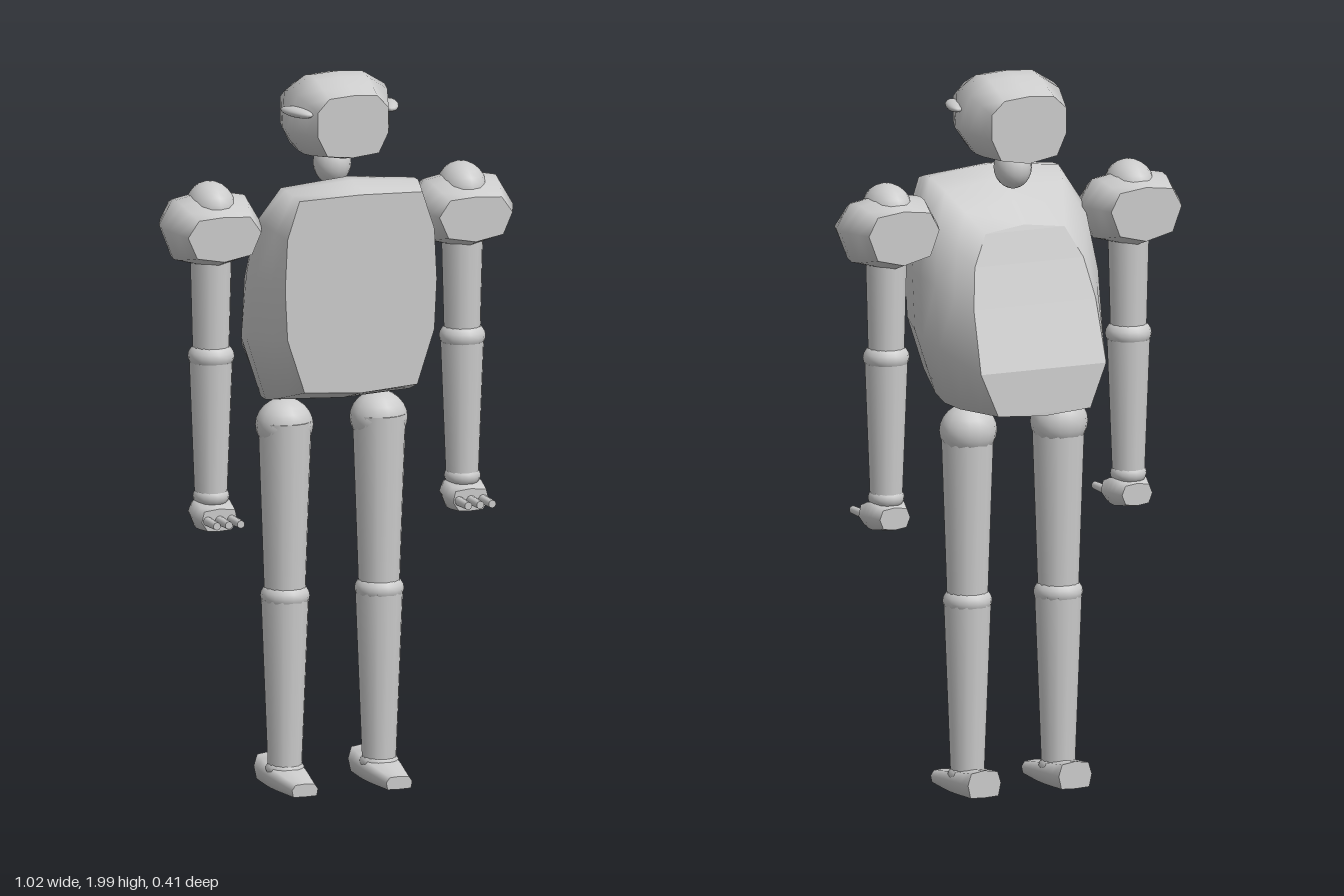
import * as THREE from 'three';
import { mergeGeometries } from 'three/addons/utils/BufferGeometryUtils.js';

const material = new THREE.MeshStandardMaterial({ color: 0xcccccc });

function add(parent, name, geometry, x = 0, y = 0, z = 0) {
  const mesh = new THREE.Mesh(geometry, material);
  mesh.name = name;
  mesh.position.set(x, y, z);
  parent.add(mesh);
  return mesh;
}

const ball = (rx, ry = rx, rz = rx) => new THREE.SphereGeometry(1, 16, 12).scale(rx, ry, rz);

// Cylinder along y between two heights
const limb = (y0, r0, y1, r1) =>
  new THREE.CylinderGeometry(r1, r0, y1 - y0, 14).translate(0, (y0 + y1) / 2, 0);

// Smooth barrel from front to back with crisp flat ends. Each section lists its
// right half [x, y, z] from top centre to bottom centre and is mirrored in x.
function barrel(sections, steps = 6) {
  const n = sections[0].length;
  const curves = sections[0].map((_, j) =>
    new THREE.CatmullRomCurve3(sections.map((s) => new THREE.Vector3(...s[j]))).getPoints(steps));
  const count = 2 * n - 2;
  const position = [], index = [];
  for (let i = 0; i <= steps; i++) {
    for (let j = 0; j < count; j++) {
      const p = curves[j < n ? j : count - j][i];
      position.push(j < n ? p.x : -p.x, p.y, p.z);
      if (i === steps) continue;
      const k = (j + 1) % count;
      const a = i * count + j, b = i * count + k;
      index.push(a, b, a + count, b, b + count, a + count);
    }
  }
  const side = new THREE.BufferGeometry();
  side.setAttribute('position', new THREE.Float32BufferAttribute(position, 3));
  side.setIndex(index);
  side.computeVertexNormals();

  const corners = [];
  for (const [i, sign] of [[0, 1], [steps, -1]]) {
    for (let j = 0; j < n - 1; j++) {
      const p = curves[j][i], q = curves[j + 1][i];
      const r0 = [sign * p.x, p.y, p.z], l0 = [-sign * p.x, p.y, p.z];
      const r1 = [sign * q.x, q.y, q.z], l1 = [-sign * q.x, q.y, q.z];
      if (p.x > 0) corners.push(...r0, ...l0, ...l1);
      if (q.x > 0) corners.push(...r0, ...l1, ...r1);
    }
  }
  const caps = new THREE.BufferGeometry();
  caps.setAttribute('position', new THREE.Float32BufferAttribute(corners, 3));
  caps.computeVertexNormals();
  return mergeGeometries([side.toNonIndexed(), caps]);
}

// Gives a flat outline its depth
const at = (z, outline) => outline.map(([x, y]) => [x, y, z]);

function makeArm(side) {
  const arm = new THREE.Group();
  arm.name = side > 0 ? 'leftArm' : 'rightArm';
  arm.position.set(side * 0.368, 0, 0.1);
  add(arm, 'shoulderPad', barrel([
    at(0.103, [[0, 1.64], [0.075, 1.635], [0.107, 1.59], [0.08, 1.53], [0, 1.515]]),
    at(-0.005, [[0, 1.695], [0.1, 1.675], [0.143, 1.6], [0.108, 1.51], [0, 1.48]]),
    at(-0.112, [[0, 1.66], [0.08, 1.65], [0.107, 1.6], [0.08, 1.53], [0, 1.51]]),
  ]));
  add(arm, 'shoulderBall', ball(0.066, 0.07, 0.083), 0, 1.65, -0.005);
  add(arm, 'upperArm', limb(1.23, 0.05, 1.53, 0.058));
  add(arm, 'elbow', ball(0.064, 0.045, 0.064), 0, 1.235, 0);
  add(arm, 'forearm', limb(0.84, 0.045, 1.22, 0.06));
  add(arm, 'wrist', ball(0.05, 0.035, 0.05), 0, 0.845, 0);
  add(arm, 'hand', barrel([
    at(0.065, [[0, 0.82], [0.045, 0.815], [0.052, 0.785], [0.035, 0.76], [0, 0.758]]),
    at(0, [[0, 0.84], [0.048, 0.835], [0.058, 0.795], [0.044, 0.758], [0, 0.753]]),
    at(-0.055, [[0, 0.825], [0.036, 0.82], [0.046, 0.795], [0.035, 0.768], [0, 0.763]]),
  ]));
  for (const x of [-0.035, 0, 0.035]) {
    const finger = new THREE.CylinderGeometry(0.011, 0.014, 0.1, 10).rotateX(Math.PI / 2);
    add(arm, 'finger', finger, x, 0.788, 0.085);
  }
  return arm;
}

function makeLeg(side) {
  const leg = new THREE.Group();
  leg.name = side > 0 ? 'leftLeg' : 'rightLeg';
  leg.position.set(side * 0.138, 0, 0.066);
  add(leg, 'hip', ball(0.08, 0.075, 0.076), 0, 1.018, -0.005);
  add(leg, 'thigh', limb(0.55, 0.057, 1.03, 0.074));
  add(leg, 'knee', ball(0.068, 0.046, 0.068), 0, 0.543, 0);
  add(leg, 'shin', limb(0.06, 0.047, 0.535, 0.066));
  add(leg, 'ankle', ball(0.054, 0.032, 0.052), 0, 0.06, 0);
  add(leg, 'foot', barrel([
    at(0.15, [[0, 0.046], [0.028, 0.044], [0.038, 0.03], [0.034, 0.011], [0, 0.01]]),
    at(0.01, [[0, 0.072], [0.046, 0.068], [0.056, 0.045], [0.046, 0.011], [0, 0.008]]),
    at(-0.106, [[0, 0.088], [0.04, 0.082], [0.05, 0.05], [0.042, 0.014], [0, 0.012]]),
  ]));
  return leg;
}

export function createModel() {
  const model = new THREE.Group();
  model.name = 'figure';

  // Torso with a flat chest and a back that slopes out towards its base
  add(model, 'torso', barrel([
    at(0.282, [[0, 1.69], [0.18, 1.685], [0.215, 1.58], [0.222, 1.44], [0.215, 1.3], [0.165, 1.15], [0, 1.138]]),
    [[0, 1.725, 0.19], [0.195, 1.705, 0.18], [0.245, 1.6, 0.12], [0.265, 1.45, 0.1],
      [0.262, 1.28, 0.09], [0.2, 1.095, 0.08], [0, 1.085, 0.08]],
    [[0, 1.59, -0.005], [0.12, 1.575, -0.01], [0.165, 1.49, -0.035], [0.185, 1.38, -0.07],
      [0.19, 1.21, -0.125], [0.14, 1.09, -0.13], [0, 1.08, -0.13]],
  ]));

  // Head on a ball neck
  add(model, 'neck', ball(0.052, 0.06, 0.055), 0, 1.738, 0.066);
  add(model, 'head', barrel([
    at(0.225, [[0, 1.955], [0.07, 1.95], [0.103, 1.915], [0.103, 1.845], [0.075, 1.79], [0, 1.782]]),
    at(0.1, [[0, 2], [0.075, 1.995], [0.14, 1.955], [0.148, 1.845], [0.095, 1.775], [0, 1.758]]),
    at(-0.036, [[0, 1.952], [0.075, 1.945], [0.113, 1.91], [0.113, 1.84], [0.085, 1.78], [0, 1.765]]),
  ]));
  for (const side of [-1, 1]) {
    const ear = add(model, 'ear', ball(0.024, 0.014, 0.065), side * 0.136, 1.905, 0.15);
    ear.rotation.y = -side * 0.3;
    model.add(makeArm(side), makeLeg(side));
  }
  return model;
}
